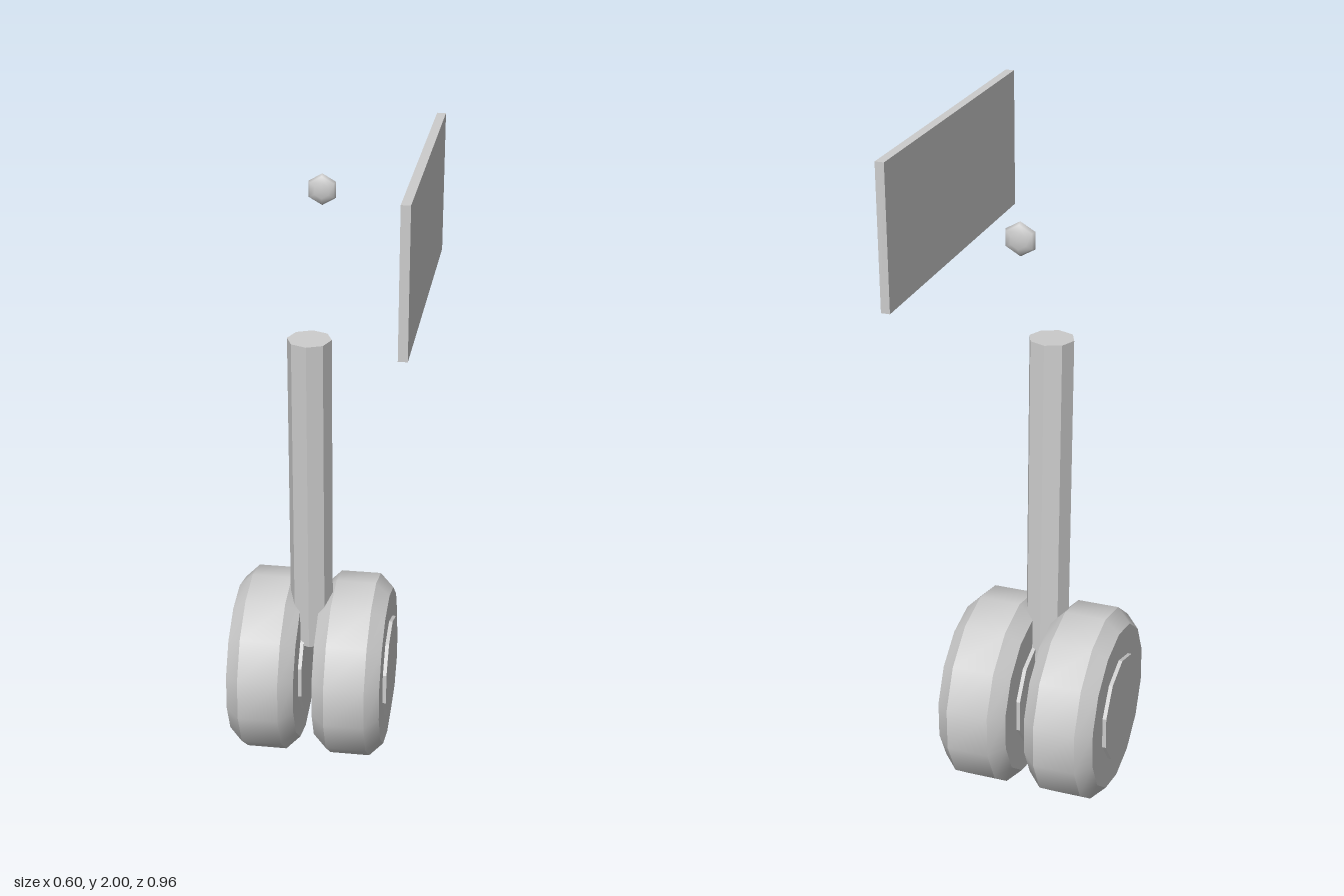
import * as THREE from 'three';
import { toCreasedNormals } from 'three/addons/utils/BufferGeometryUtils.js';

const CENTRE_X = -0.049; // strut and wheel pair share this plane
const CREASE = 0.6;

export function createModel() {
  const model = new THREE.Group();
  model.name = 'landingGear';
  const grey = new THREE.MeshStandardMaterial({ color: 0xcccccc });
  grey.name = 'light grey';

  const add = (name, geometry, x, y, z) => {
    const mesh = new THREE.Mesh(geometry, grey);
    mesh.name = name;
    mesh.position.set(x, y, z);
    model.add(mesh);
    return mesh;
  };

  // Tyre: 14-sided drum with chamfered shoulders, axle along x
  const profile = [
    [0, -0.105], [0.249, -0.105], [0.291, -0.0625],
    [0.291, 0.0625], [0.249, 0.105], [0, 0.105],
  ].map(([r, h]) => new THREE.Vector2(r, h));
  const tyre = toCreasedNormals(
    new THREE.LatheGeometry(profile, 14, Math.PI / 2).rotateZ(Math.PI / 2), CREASE);

  // Hub: 10-sided disc standing proud of both tyre faces
  const hub = toCreasedNormals(
    new THREE.CylinderGeometry(0.159, 0.159, 0.233, 10, 1, false, Math.PI / 2)
      .rotateZ(Math.PI / 2), CREASE);

  for (const [side, s] of [['left', 1], ['right', -1]]) {
    const x = CENTRE_X + s * 0.1335;
    add(side + 'Tyre', tyre, x, 0.291, -0.187);
    add(side + 'Hub', hub, x, 0.291, -0.187);
  }

  // Strut: octagonal leg leaning slightly forward at the top
  const strut = toCreasedNormals(
    new THREE.CylinderGeometry(0.0662, 0.0662, 1.015, 8), CREASE);
  add('strut', strut, CENTRE_X, 0.907, -0.1245).rotation.x = 0.0403;

  // Small flattened six-sided lamp above the leg
  const lamp = new THREE.SphereGeometry(0.048, 6, 6)
    .rotateX(Math.PI / 2).rotateZ(Math.PI / 2).scale(1, 1, 0.45);
  add('lamp', lamp, CENTRE_X, 1.791, -0.3535);

  // Bay door: thin upright panel on the left
  add('bayDoor', new THREE.BoxGeometry(0.026, 0.415, 0.957), 0.286, 1.7925, 0);

  return model;
}
